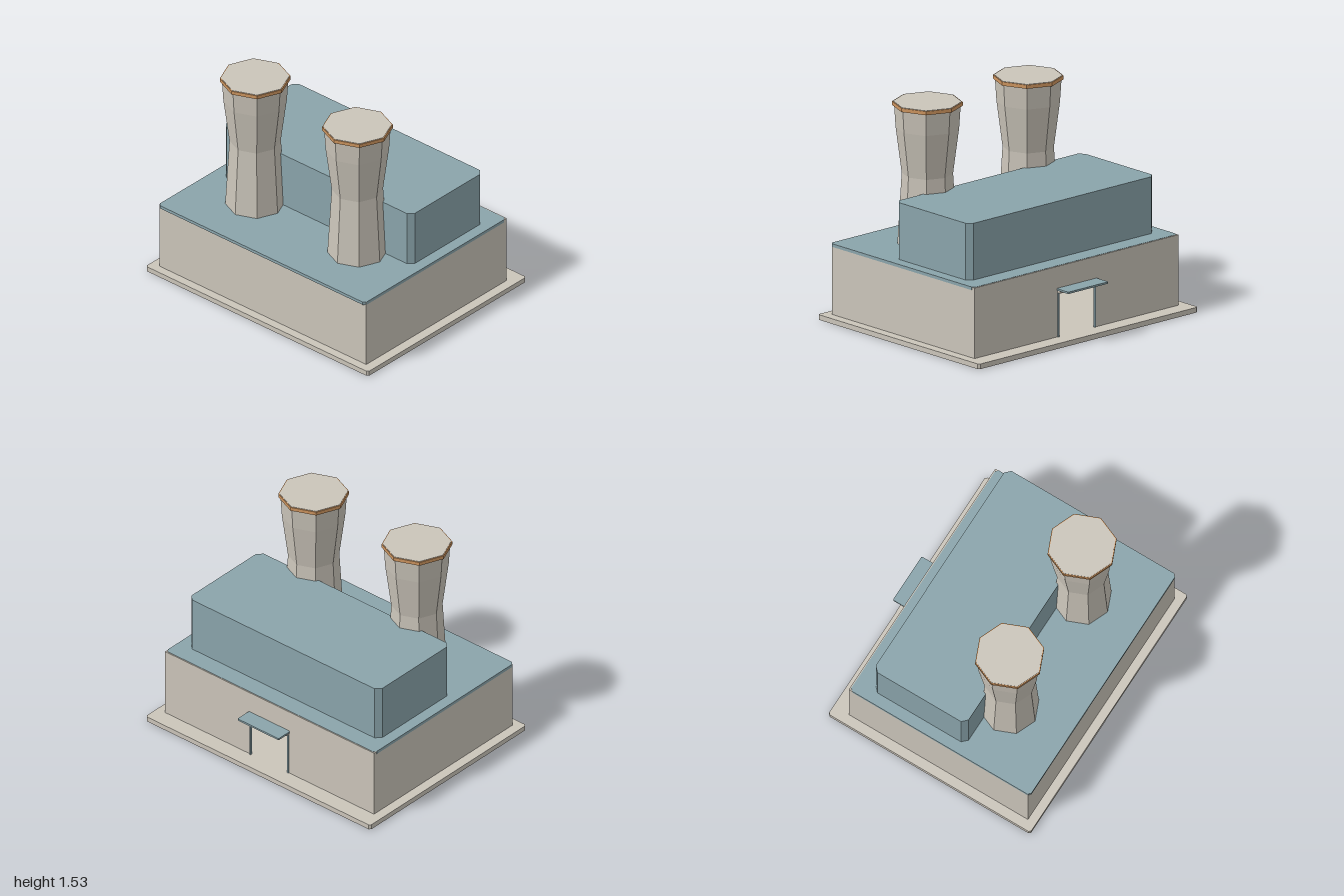
import * as THREE from 'three';

const mat = (name, color) => {
  const m = new THREE.MeshStandardMaterial({ color });
  m.name = name;
  return m;
};

export function createModel() {
  const model = new THREE.Group();
  model.name = 'powerPlant';
  const concrete = mat('concrete', 0xcbc5ba);
  const blue = mat('blueCladding', 0x8aa4ab);
  const orange = mat('orangeRim', 0xcf9660);

  const add = (name, geometry, material, parent = model) => {
    const mesh = new THREE.Mesh(geometry, material);
    mesh.name = name;
    parent.add(mesh);
    return mesh;
  };

  // Box given by its limits
  const box = (name, material, x0, x1, y0, y1, z0, z1) =>
    add(name, new THREE.BoxGeometry(x1 - x0, y1 - y0, z1 - z0), material)
      .position.set((x0 + x1) / 2, (y0 + y1) / 2, (z0 + z1) / 2);

  // Flat slab with its four upright corners cut off
  const slab = (name, material, x0, x1, y0, y1, halfZ, cut) => {
    const shape = new THREE.Shape([
      [x0 + cut, -halfZ], [x1 - cut, -halfZ], [x1, -halfZ + cut], [x1, halfZ - cut],
      [x1 - cut, halfZ], [x0 + cut, halfZ], [x0, halfZ - cut], [x0, -halfZ + cut],
    ].map(([x, z]) => new THREE.Vector2(x, z)));
    const g = new THREE.ExtrudeGeometry(shape, { depth: y1 - y0, bevelEnabled: false });
    g.rotateX(-Math.PI / 2).translate(0, y0, 0);
    return add(name, g, material);
  };

  slab('base', concrete, -0.8, 0.8, 0, 0.036, 1, 0.013);

  // Hollow hall: three plain walls and one with a doorway
  box('rearWall', concrete, -0.738, -0.728, 0.036, 0.53, -0.93, 0.93);
  for (const s of [-1, 1]) {
    const z0 = s > 0 ? 0.92 : -0.93;
    box('sideWall', concrete, -0.738, 0.68, 0.036, 0.53, z0, z0 + 0.01);
  }
  const wall = new THREE.Shape([
    [-0.93, 0.036], [-0.168, 0.036], [-0.168, 0.345], [0.168, 0.345],
    [0.168, 0.036], [0.93, 0.036], [0.93, 0.53], [-0.93, 0.53],
  ].map(([z, y]) => new THREE.Vector2(z, y)));
  const wallGeo = new THREE.ExtrudeGeometry(wall, { depth: 0.01, bevelEnabled: false });
  wallGeo.rotateY(Math.PI / 2).translate(0.67, 0, 0);
  add('doorWall', wallGeo, concrete);

  // Roof and upper block
  slab('roof', blue, -0.754, 0.672, 0.51, 0.532, 0.931, 0.02);
  slab('upperBlock', blue, -0.195, 0.54, 0.53, 0.93, 0.85, 0.037);

  // Doorway
  for (const s of [-1, 1]) {
    const z = s * 0.168;
    box('doorPost', blue, 0.67, 0.687, 0.036, 0.345, z - 0.005, z + 0.005);
  }
  box('doorLintel', concrete, 0.675, 0.706, 0.345, 0.364, -0.173, 0.173);
  slab('doorCanopy', blue, 0.678, 0.798, 0.364, 0.377, 0.183, 0.006);

  // Eight-sided cooling towers
  const profile = [[0.202, 0.53], [0.173, 1.03], [0.214, 1.35], [0.224, 1.505]];
  for (const z of [-0.46, 0.46]) {
    const tower = new THREE.Group();
    tower.name = 'coolingTower';
    tower.position.set(-0.3, 0, z);
    model.add(tower);
    for (let i = 0; i < profile.length - 1; i++) {
      const [r0, y0] = profile[i];
      const [r1, y1] = profile[i + 1];
      const g = new THREE.CylinderGeometry(r1, r0, y1 - y0, 8, 1, true).toNonIndexed();
      g.computeVertexNormals();
      add('towerShell', g, concrete, tower).position.y = (y0 + y1) / 2;
    }
    const rim = new THREE.CylinderGeometry(0.238, 0.238, 0.026, 8).toNonIndexed();
    rim.computeVertexNormals();
    add('towerRim', rim, orange, tower).position.y = 1.516;
    const cap = new THREE.CylinderGeometry(0.231, 0.231, 0.004, 8).toNonIndexed();
    cap.computeVertexNormals();
    add('towerCap', cap, concrete, tower).position.y = 1.53;
  }
  return model;
}
